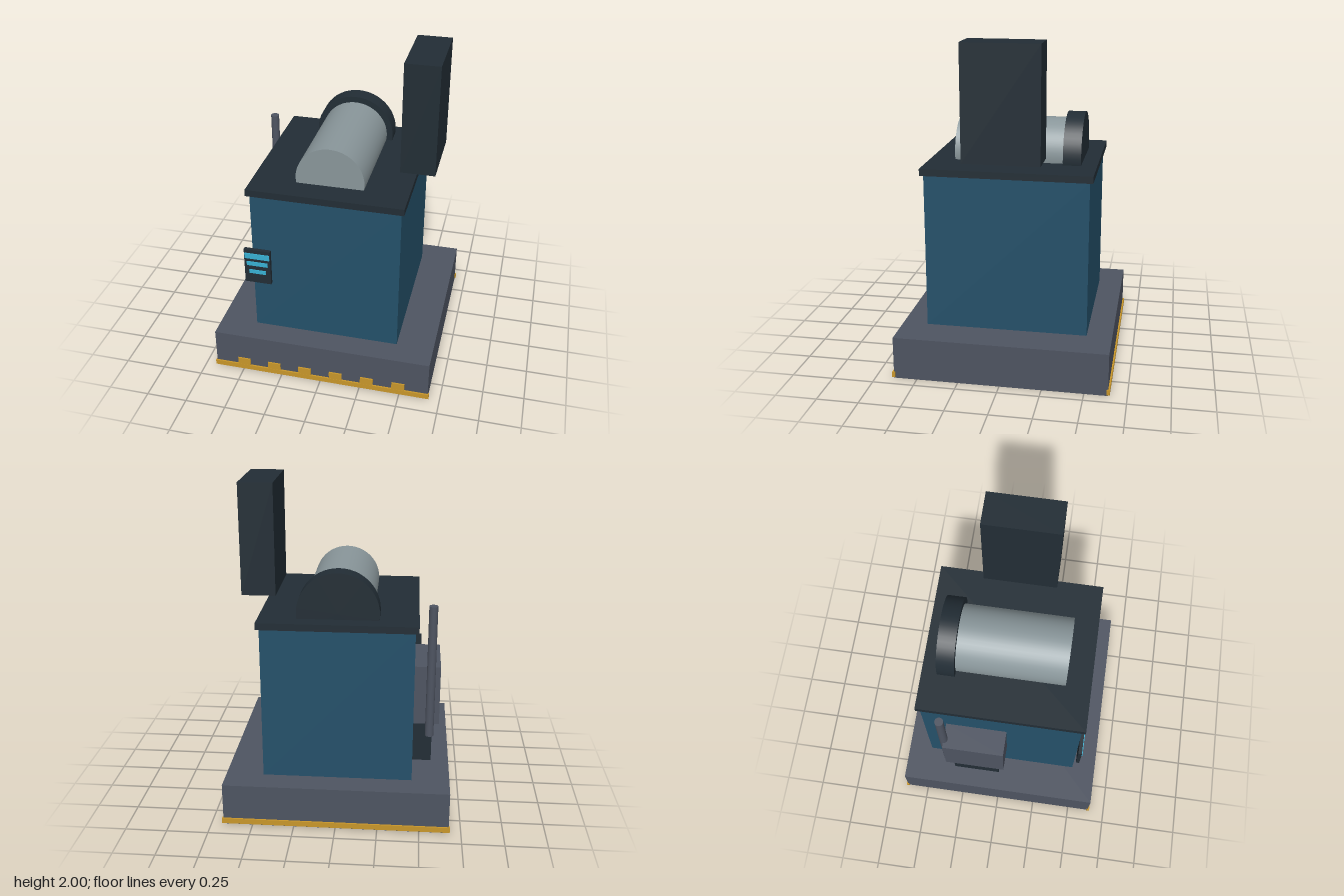
import * as THREE from 'three';

const mat = (name, color) => {
  const m = new THREE.MeshStandardMaterial({ color });
  m.name = name;
  return m;
};

export function createModel() {
  const model = new THREE.Group();
  model.name = 'machine';
  const grey = mat('slate grey', 0x4e5461);
  const blue = mat('steel blue', 0x245069);
  const dark = mat('dark charcoal', 0x222d35);
  const silver = mat('light metal', 0x89969a);
  const yellow = mat('safety yellow', 0xc8962a);
  const cyan = mat('display cyan', 0x38b0d2);

  const add = (name, geometry, material, x, y, z) => {
    const mesh = new THREE.Mesh(geometry, material);
    mesh.name = name;
    mesh.position.set(x, y, z);
    model.add(mesh);
    return mesh;
  };
  // Box given by its extents on each axis
  const box = (name, material, [x0, x1], [y0, y1], [z0, z1]) =>
    add(name, new THREE.BoxGeometry(x1 - x0, y1 - y0, z1 - z0), material,
      (x0 + x1) / 2, (y0 + y1) / 2, (z0 + z1) / 2);
  // Cylinder lying along z, half sunk into the housing
  const drum = (name, material, r, z0, z1) => {
    const g = new THREE.CylinderGeometry(r, r, z1 - z0, 48).rotateX(Math.PI / 2);
    return add(name, g, material, 0, 1.285, (z0 + z1) / 2);
  };

  // Plinth and housing
  box('base', grey, [-0.677, 0.677], [0.005, 0.265], [-0.64, 0.64]);
  box('housing', blue, [-0.45, 0.45], [0.265, 1.21], [-0.488, 0.488]);
  box('lid', dark, [-0.47, 0.468], [1.208, 1.25], [-0.508, 0.508]);

  // Safety strips front and back, with marker blocks along the front
  for (const s of [-1, 1]) {
    const z = s > 0 ? [0.632, 0.65] : [-0.65, -0.632];
    box('safetyStrip', yellow, [-0.684, 0.684], [0.012, 0.045], z);
  }
  for (let i = 0; i < 6; i++) {
    const x = -0.4925 + i * 0.197;
    box('safetyBlock', yellow, [x - 0.04, x + 0.04], [0.045, 0.092], [0.635, 0.649]);
  }

  // Drum on top and its rear collar
  drum('drum', silver, 0.206, -0.32, 0.355);
  drum('rearCollar', dark, 0.243, -0.413, -0.305);

  // Raised block floating over the +x edge
  box('raisedBlock', dark, [0.388, 0.594], [1.325, 2], [-0.226, 0.226]);

  // Side equipment: cabinet, support and exhaust pipe
  box('sideCabinet', grey, [-0.605, -0.45], [0.575, 0.945], [-0.343, 0.035]);
  box('cabinetSupport', dark, [-0.565, -0.45], [0.308, 0.575], [-0.305, -0.005]);
  add('exhaustPipe', new THREE.CylinderGeometry(0.026, 0.026, 0.825, 24), grey,
    -0.549, 0.9125, -0.343);

  // Control panel with three display bars
  box('controlPanel', dark, [-0.497, -0.333], [0.605, 0.84], [0.495, 0.517]);
  [[0.797, 0.155, 0.036], [0.743, 0.131, 0.027], [0.686, 0.105, 0.025]].forEach(([y, w, h]) =>
    box('displayBar', cyan, [-0.415 - w / 2, -0.415 + w / 2], [y - h / 2, y + h / 2], [0.516, 0.523]));

  return model;
}
